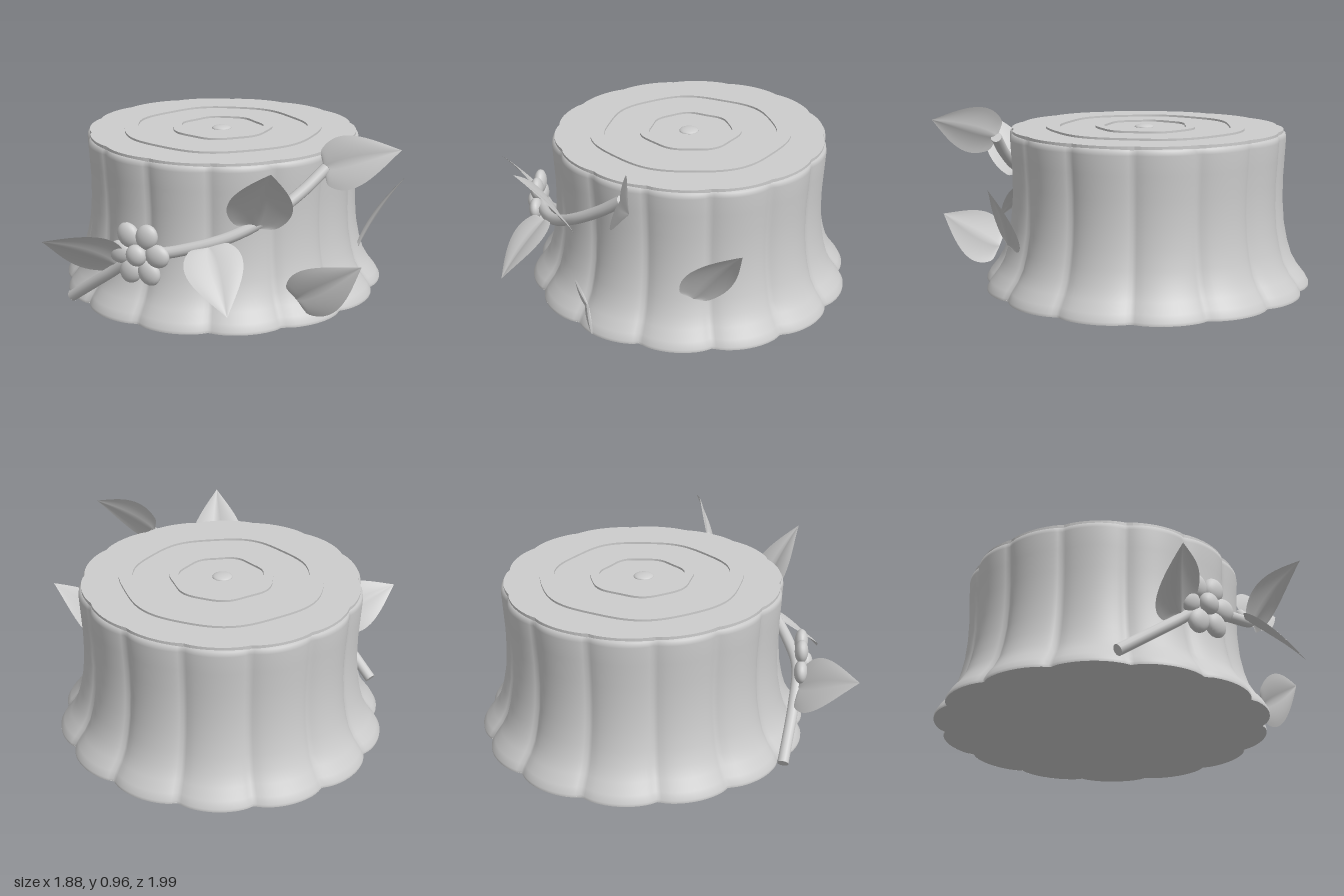
import * as THREE from 'three';

const CX = -0.05, CZ = -0.115;   // stump axis

export function createModel() {
  const model = new THREE.Group();
  const grey = new THREE.MeshStandardMaterial({ color: 0xcccccc, side: THREE.DoubleSide });
  grey.name = 'pale grey';

  function add(geometry, name, parent = model) {
    const mesh = new THREE.Mesh(geometry, grey);
    mesh.name = name;
    parent.add(mesh);
    return mesh;
  }

  // Grid of points joined into a smooth surface; wrap closes each row on itself
  function surface(rows, cols, wrap, point) {
    const pos = [], index = [];
    for (let i = 0; i < rows; i++) for (let j = 0; j < cols; j++) pos.push(...point(i, j));
    for (let i = 0; i < rows - 1; i++) {
      for (let j = 0; j < (wrap ? cols : cols - 1); j++) {
        const k = (j + 1) % cols;
        const a = i * cols + j, b = i * cols + k, c = a + cols, d = b + cols;
        index.push(a, b, d, a, d, c);
      }
    }
    const g = new THREE.BufferGeometry();
    g.setAttribute('position', new THREE.Float32BufferAttribute(pos, 3));
    g.setIndex(index);
    g.computeVertexNormals();
    return g;
  }

  // Lobed bark radius: 14 rounded ribs with sharp grooves between them
  const phase = 10 * Math.PI / 180;
  const lobed = (r, depth, a) =>
    r - depth * (1 - Math.sqrt(Math.abs(Math.sin(7 * (a - phase))))) + 0.006 * Math.sin(3 * a + 1);

  // Bark wall: radius, height, groove depth
  const profile = [
    [0.885, 0, 0.05], [0.885, 0.015, 0.05], [0.865, 0.05, 0.05], [0.825, 0.1, 0.048],
    [0.79, 0.16, 0.045], [0.765, 0.24, 0.042], [0.745, 0.34, 0.04], [0.735, 0.46, 0.038],
    [0.734, 0.58, 0.036], [0.74, 0.7, 0.034], [0.745, 0.8, 0.032], [0.741, 0.825, 0.03],
    [0.725, 0.834, 0.028], [0.69, 0.834, 0.02],
  ];
  const N = 224;
  add(surface(profile.length, N, true, (i, j) => {
    const a = -j / N * Math.PI * 2;
    const [r, y, depth] = profile[i];
    const q = lobed(r, depth, a);
    return [CX + q * Math.cos(a), y, CZ - q * Math.sin(a)];
  }).scale(1, 1, 1), 'bark');

  // Flat wavy discs and rings lying on the stump
  const outline = (fn) => {
    const pts = [];
    for (let j = 0; j < 140; j++) {
      const a = j / 140 * Math.PI * 2, r = fn(a);
      pts.push(new THREE.Vector2(r * Math.cos(a), r * Math.sin(a)));
    }
    return pts;
  };
  function slab(outer, inner, y, height, name) {
    const shape = new THREE.Shape(outline(outer));
    if (inner) shape.holes.push(new THREE.Path(outline(inner)));
    const g = new THREE.ExtrudeGeometry(shape, { depth: height, bevelEnabled: false });
    g.rotateX(-Math.PI / 2).translate(CX, y, CZ);
    add(g, name);
  }
  const wavy = (r, amp) => (a) => r + amp * (Math.sin(7 * a + 1) + 0.6 * Math.sin(4 * a + 2));

  slab((a) => lobed(0.885, 0.05, a), null, 0, 0.004, 'underside');
  slab((a) => lobed(0.73, 0.018, a), null, 0.815, 0.03, 'cutTop');
  slab(wavy(0.535, 0.008), wavy(0.46, 0.008), 0.84, 0.016, 'outerGrowthRing');
  slab(wavy(0.27, 0.006), wavy(0.22, 0.006), 0.84, 0.016, 'innerGrowthRing');

  const pith = add(new THREE.SphereGeometry(0.053, 24, 16), 'pith');
  pith.scale.y = 0.3;
  pith.position.set(CX, 0.845, -0.105);

  // Vine climbing across the front
  const path = new THREE.CatmullRomCurve3([
    [-0.83, 0.04, 0.36], [-0.6, 0.24, 0.53], [-0.45, 0.36, 0.62], [-0.25, 0.41, 0.67],
    [0, 0.485, 0.685], [0.2, 0.58, 0.645], [0.37, 0.69, 0.56], [0.49, 0.79, 0.485],
  ].map((p) => new THREE.Vector3(...p)));
  add(new THREE.TubeGeometry(path, 60, 0.03, 12), 'vine');
  [0, 1].forEach((t) => {
    const end = add(new THREE.CircleGeometry(0.03, 12), 'vineEnd');
    end.position.copy(path.getPointAt(t));
    end.lookAt(end.position.clone().addScaledVector(path.getTangentAt(t), t ? 1 : -1));
  });

  // Flower: six flattened petals around a button
  const flower = new THREE.Group();
  flower.name = 'flower';
  flower.position.set(-0.44, 0.385, 0.645);
  flower.lookAt(-0.44 - 0.45, 0.385, 0.645 + 0.89);
  model.add(flower);
  for (let i = 0; i < 6; i++) {
    const a = (i + 0.05) * Math.PI / 3;
    const petal = add(new THREE.SphereGeometry(0.06, 20, 14), 'petal', flower);
    petal.scale.set(1.12, 1, 0.6);
    petal.position.set(0.108 * Math.cos(a), 0.108 * Math.sin(a), 0);
    petal.rotation.z = a;
  }
  const button = add(new THREE.SphereGeometry(0.056, 20, 14), 'flowerCentre', flower);
  button.position.z = 0.025;
  button.scale.z = 0.7;

  // Heart-shaped leaf, folded along the midrib and gently arched
  function leaf(base, tip, normal, width, name) {
    const b = new THREE.Vector3(...base), d = new THREE.Vector3(...tip).sub(b);
    const L = d.length();
    d.normalize();
    const n = new THREE.Vector3(...normal);
    n.addScaledVector(d, -n.dot(d)).normalize();
    const side = new THREE.Vector3().crossVectors(d, n);
    const rows = 25, cols = 13;
    add(surface(rows, cols, false, (i, j) => {
      const t = (i / (rows - 1)) ** 1.5, s = j / (cols - 1) * 2 - 1;
      const w = width / 2 * Math.sin(Math.PI * t ** 0.6);
      const along = L * (t - 0.1 * Math.abs(s) * (1 - t) ** 3 * Math.min(1, t * 12));
      const lift = 0.3 * Math.abs(s) * w + 0.14 * L * t * (1 - t) - 0.22 * s * s * w;
      return b.clone().addScaledVector(d, along).addScaledVector(side, s * w)
        .addScaledVector(n, lift).toArray();
    }), name);
  }
  leaf([-0.57, 0.3, 0.57], [-0.905, 0.475, 0.73], [-0.03, 0.6, -0.75], 0.31, 'leftLeaf');
  leaf([-0.09, 0.45, 0.72], [0.01, 0.2, 1.0], [0, 0.7, 0.68], 0.29, 'droopingLeaf');
  leaf([0.14, 0.53, 0.68], [0.21, 0.89, 0.945], [0, 0.56, -0.83], 0.32, 'upperLeaf');
  leaf([0.48, 0.79, 0.49], [0.85, 0.91, 0.58], [-0.25, 0.35, 0.9], 0.27, 'topLeaf');
  leaf([0.35, 0.14, 0.63], [0.66, 0.36, 0.74], [-0.17, -0.22, 0.96], 0.29, 'lowerLeaf');
  leaf([0.695, 0.275, 0.19], [0.95, 0.62, 0.05], [-0.75, 0.4, -0.3], 0.25, 'sideLeaf');

  return model;
}
